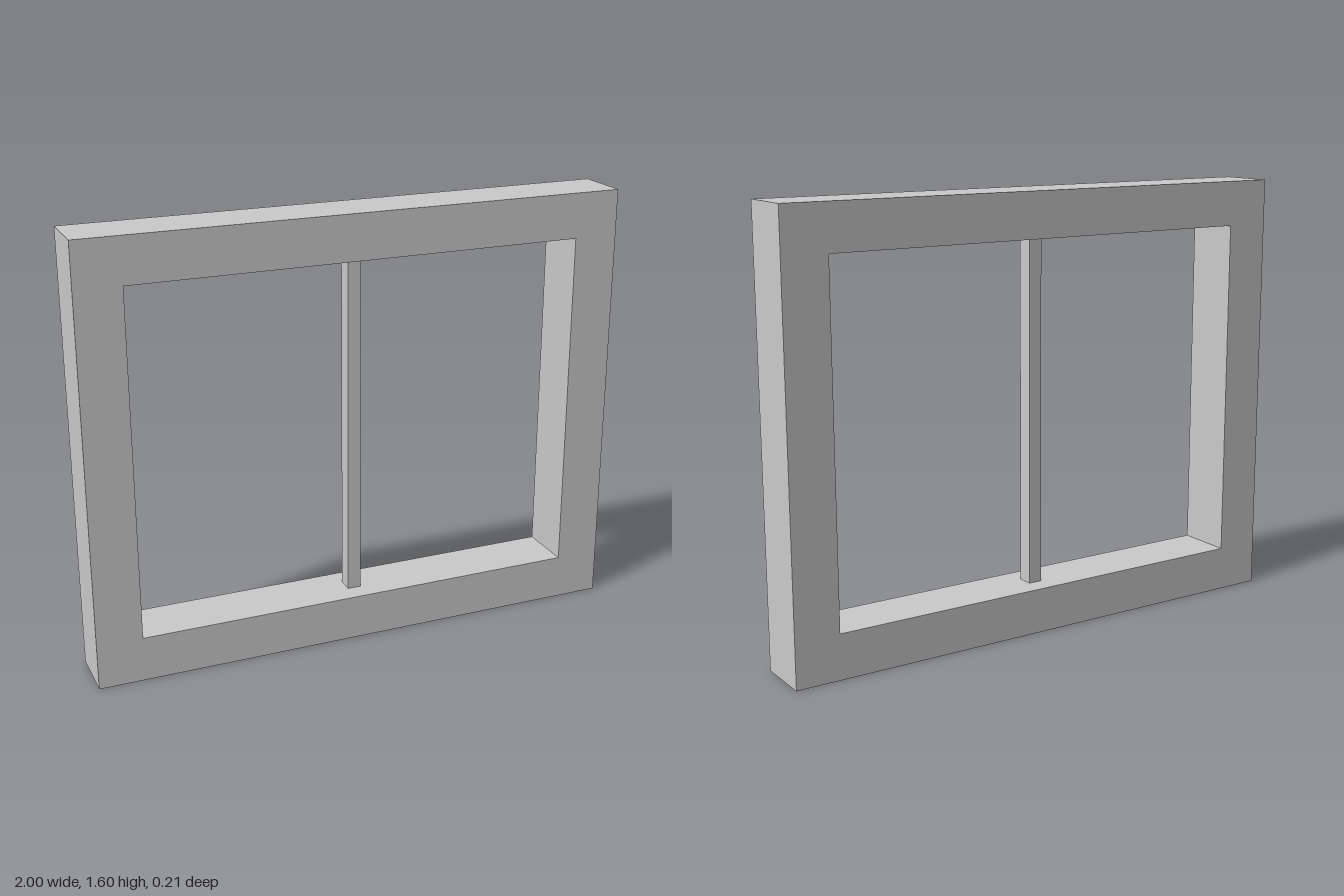
import * as THREE from 'three';

const WIDTH = 2, HEIGHT = 1.604, DEPTH = 0.21, BORDER = 0.166;

// Closed rectangle, centred on x and spanning y0 to y1
function rectangle(target, halfWidth, y0, y1) {
  target.moveTo(-halfWidth, y0);
  target.lineTo(halfWidth, y0);
  target.lineTo(halfWidth, y1);
  target.lineTo(-halfWidth, y1);
  target.closePath();
  return target;
}

export function createModel() {
  const group = new THREE.Group();
  group.name = 'window';
  const material = new THREE.MeshStandardMaterial({ color: 0xcccccc });

  // Outer frame with one rectangular opening
  const outline = rectangle(new THREE.Shape(), WIDTH / 2, 0, HEIGHT);
  outline.holes.push(rectangle(new THREE.Path(), WIDTH / 2 - BORDER, BORDER, HEIGHT - BORDER));
  const frameGeometry = new THREE.ExtrudeGeometry(outline, { depth: DEPTH, bevelEnabled: false });
  frameGeometry.translate(0, 0, -DEPTH / 2);
  const frame = new THREE.Mesh(frameGeometry, material);
  frame.name = 'frame';
  group.add(frame);

  // Slim upright bar dividing the opening
  const mullion = new THREE.Mesh(new THREE.BoxGeometry(0.05, HEIGHT - 2 * BORDER, 0.06), material);
  mullion.name = 'mullion';
  mullion.position.y = HEIGHT / 2;
  group.add(mullion);

  return group;
}
